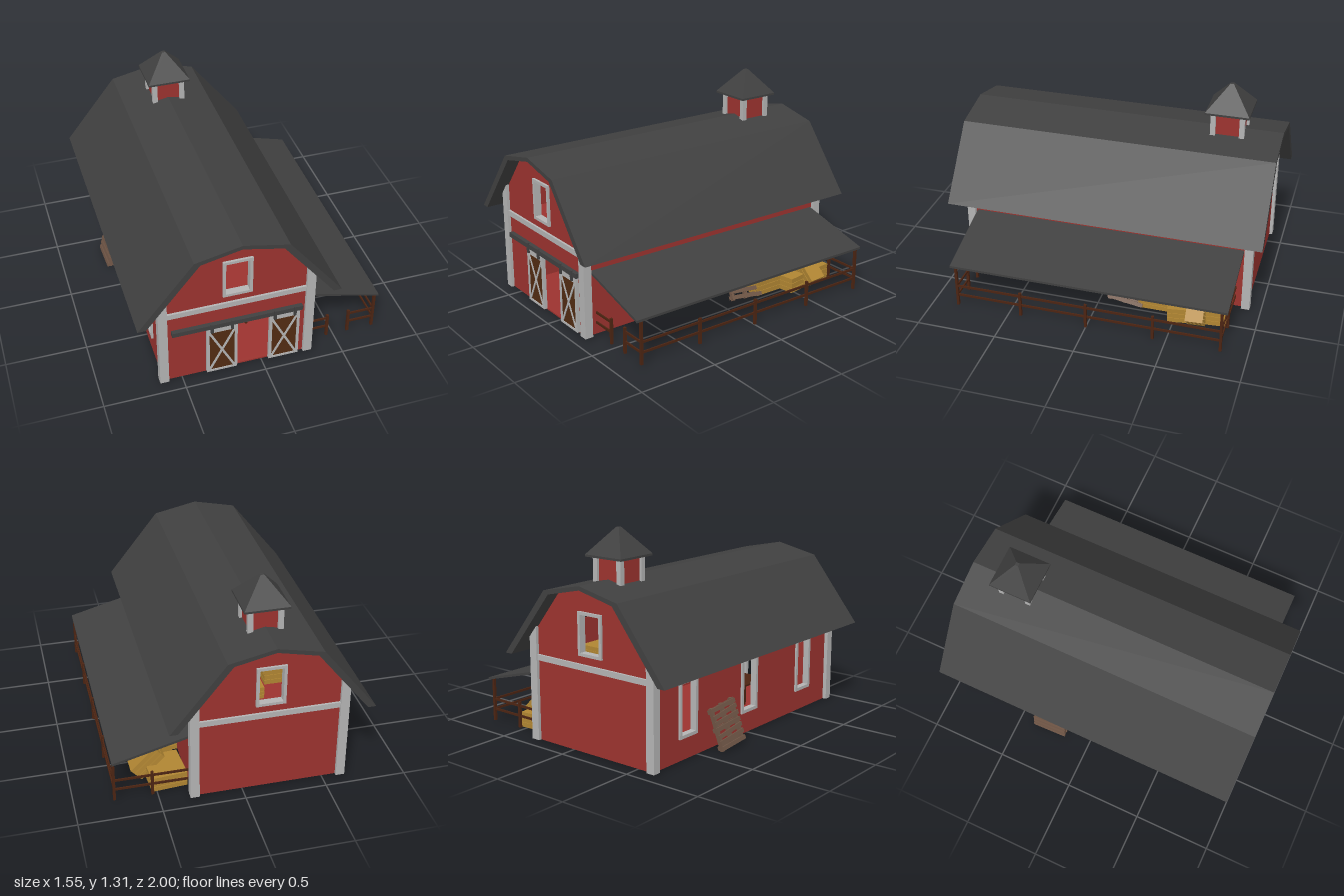
import * as THREE from 'three';

const mat = (color) => new THREE.MeshStandardMaterial({ color, flatShading: true, side: THREE.DoubleSide });
const RED = mat(0x9c332f), ROOF = mat(0x404040), TRIM = mat(0xb4b4b4), DOOR = mat(0x522c12);
const WOOD = mat(0x4c2412), HAY = mat(0xb08532), PALLET = mat(0x705646), METAL = mat(0x45484a);
const CX = -0.16; // barn centre line

function add(parent, name, geometry, material, x = 0, y = 0, z = 0) {
  const m = new THREE.Mesh(geometry, material);
  m.name = name;
  m.position.set(x, y, z);
  parent.add(m);
  return m;
}

// Box given by its min and max corners
function block(parent, name, material, [x0, y0, z0], [x1, y1, z1]) {
  return add(parent, name, new THREE.BoxGeometry(x1 - x0, y1 - y0, z1 - z0), material,
    (x0 + x1) / 2, (y0 + y1) / 2, (z0 + z1) / 2);
}

function group(parent, name, x = 0, y = 0, z = 0) {
  const g = new THREE.Group();
  g.name = name;
  g.position.set(x, y, z);
  parent.add(g);
  return g;
}

const pts = (list) => list.map(([x, y]) => new THREE.Vector2(x, y));
const rect = (x0, y0, x1, y1) => pts([[x0, y0], [x1, y0], [x1, y1], [x0, y1]]);

// Extrude an outline with optional holes along z
function slab(outline, holes, depth) {
  const s = new THREE.Shape(outline);
  holes.forEach((h) => s.holes.push(new THREE.Path(h)));
  return new THREE.ExtrudeGeometry(s, { depth, bevelEnabled: false });
}

// Rectangular window frame centred on the origin
const frame = (w, h, b, d) =>
  slab(rect(-w / 2, -h / 2, w / 2, h / 2), [rect(-w / 2 + b, -h / 2 + b, w / 2 - b, h / 2 - b)], d).translate(0, 0, -d / 2);

// Bale made of three layers with narrow grooves
function bale(parent, x, y, z, w, h, d, rx = 0, ry = 0, rz = 0) {
  const g = group(parent, 'hayBale', x, y, z);
  g.rotation.set(rx, ry, rz);
  add(g, 'baleCore', new THREE.BoxGeometry(w - 0.008, h - 0.008, d - 0.008), HAY);
  for (let i = -1; i <= 1; i++)
    add(g, 'baleLayer', new THREE.BoxGeometry(w, h / 3 - 0.004, d), HAY, 0, i * h / 3, 0);
}

// Upright pallet standing on its local origin, slats facing +x
function pallet(parent, x, y, z, roll, turn, lean) {
  const g = group(parent, 'pallet', x, y, z);
  g.rotation.order = 'ZYX';
  g.rotation.set(roll, turn, lean);
  for (const s of [-0.1, 0, 0.1]) block(g, 'stringer', PALLET, [-0.012, 0, s - 0.01], [0.012, 0.265, s + 0.01]);
  for (let i = 0; i < 7; i++)
    add(g, 'slat', new THREE.BoxGeometry(0.01, 0.025, 0.23), PALLET, 0.016, 0.015 + i * 0.039, 0).rotation.x = (i % 3 - 1) * 0.03;
  for (const h of [0.02, 0.13, 0.245])
    add(g, 'backSlat', new THREE.BoxGeometry(0.008, 0.025, 0.23), PALLET, -0.015, h, 0);
}

function addWalls(root) {
  const g = group(root, 'walls');
  const gable = pts([[-0.615, 0], [0.295, 0], [0.295, 0.675], [0.095, 0.94], [CX, 0.995], [-0.415, 0.94], [-0.615, 0.675]]);
  const win = rect(-0.235, 0.6, -0.085, 0.83);
  add(g, 'frontWall', slab(gable, [win, rect(-0.3, 0.01, 0.18, 0.35)], 0.02), RED, 0, 0, 0.89);
  add(g, 'backWall', slab(gable, [win], 0.02), RED, 0, 0, -0.91);
  block(g, 'leftWall', RED, [0.275, 0, -0.9], [0.295, 0.68, 0.9]);
  const holes = [-0.6, 0, 0.6].map((z) => rect(z - 0.065, 0.15, z + 0.065, 0.46));
  add(g, 'rightWall', slab(rect(-0.9, 0, 0.9, 0.68), holes, 0.02), RED, -0.615).rotation.y = -Math.PI / 2;
  g.getObjectByName('rightWall').position.x = -0.595;
  block(g, 'floor', RED, [-0.615, 0, -0.9], [0.295, 0.01, 0.9]);
  block(g, 'loftFloor', RED, [-0.6, 0.5, -0.895], [0.28, 0.515, 0.895]);

  // Window frames
  for (const z of [-0.6, 0, 0.6])
    add(g, 'sideWindowFrame', frame(0.165, 0.345, 0.02, 0.04), TRIM, -0.607, 0.305, z).rotation.y = Math.PI / 2;
  for (const z of [-0.902, 0.902])
    add(g, 'gableWindowFrame', frame(0.18, 0.26, 0.018, 0.045), TRIM, CX, 0.715, z);

  // Corner posts with tops cut to the roof slope, and the cross boards
  for (const s of [-1, 1]) {
    block(g, 'crossBoard', TRIM, [-0.59, 0.5, s * 0.912 - 0.012], [0.27, 0.535, s * 0.912 + 0.012]);
    for (const z of [-0.93, 0.877])
      add(g, 'cornerPost', slab(pts([[s * 0.425, 0], [s * 0.48, 0], [s * 0.48, 0.65], [s * 0.425, 0.715]]), [], 0.053), TRIM, CX, 0, z);
  }
}

function addRoof(root) {
  const outer = [[-0.615, 0.53], [-0.28, 0.953], [0, 1.013], [0.28, 0.953], [0.615, 0.53]];
  const inner = [[0.565, 0.53], [0.245, 0.933], [0, 0.988], [-0.245, 0.933], [-0.565, 0.53]];
  add(root, 'mainRoof', slab(pts([...outer, ...inner]), [], 2), ROOF, CX, 0, -1);

  // Cupola
  const c = group(root, 'cupola', CX, 0, -0.665);
  block(c, 'cupolaBody', RED, [-0.09, 0.96, -0.09], [0.09, 1.14, 0.09]);
  for (const x of [-0.09, 0.09]) for (const z of [-0.09, 0.09])
    block(c, 'cupolaPost', TRIM, [x - 0.016, 0.96, z - 0.016], [x + 0.016, 1.14, z + 0.016]);
  block(c, 'cupolaEave', ROOF, [-0.137, 1.137, -0.137], [0.137, 1.15, 0.137]);
  const cap = new THREE.CylinderGeometry(0.015, 0.137 * Math.SQRT2, 0.155, 4).rotateY(Math.PI / 4);
  add(c, 'cupolaRoof', cap, ROOF, 0, 1.2275, 0);
}

function addDoors(root) {
  const g = group(root, 'slidingDoors');
  block(g, 'doorRail', ROOF, [-0.56, 0.365, 0.91], [0.245, 0.395, 0.938]);
  for (const x of [-0.255, 0.135]) {
    const d = group(g, 'door', x, 0.183, 0.92);
    add(d, 'doorPanel', new THREE.BoxGeometry(0.17, 0.34, 0.012), DOOR);
    const outline = rect(-0.095, -0.177, 0.095, 0.177);
    add(d, 'doorFrame', slab(outline, [rect(-0.078, -0.163, 0.078, 0.143)], 0.022), TRIM, 0, 0, -0.011);
    const angle = Math.atan2(0.306, 0.156);
    for (const s of [-1, 1])
      add(d, 'doorBrace', new THREE.BoxGeometry(0.34, 0.014, 0.008), TRIM, 0, -0.01, 0.006).rotation.z = s * angle;
    for (const h of [-0.065, 0.06])
      add(d, 'doorHanger', new THREE.BoxGeometry(0.016, 0.066, 0.012), ROOF, h, 0.187, 0.018);
  }
}

function addLeanTo(root) {
  const g = group(root, 'leanTo');
  const profile = pts([[0.29, 0.402], [0.29, 0.418], [0.77, 0.288], [0.77, 0.273]]);
  add(g, 'leanToRoof', slab(profile, [], 1.74), ROOF, 0, 0, -0.87);

  const post = (x, z, h) => block(g, 'fencePost', WOOD, [x - 0.008, 0, z - 0.008], [x + 0.008, h, z + 0.008]);
  for (const z of [-0.835, 0.835]) post(0.76, z, 0.28);
  for (const z of [-0.42, 0, 0.42]) post(0.76, z, 0.165);
  for (const x of [0.455, 0.595]) post(x, 0.835, 0.165);
  post(0.53, -0.835, 0.165);
  for (const y of [0.075, 0.14]) {
    block(g, 'sideRail', WOOD, [0.756, y - 0.007, -0.835], [0.764, y + 0.007, 0.835]);
    for (const [a, b, z] of [[0.29, 0.455, 0.835], [0.595, 0.76, 0.835], [0.29, 0.76, -0.835]])
      block(g, 'endRail', WOOD, [a, y - 0.007, z - 0.004], [b, y + 0.007, z + 0.004]);
  }
}

function addContents(root) {
  // Bales and pallets outside
  const g = group(root, 'yardGoods');
  bale(g, 0.41, 0.05, -0.38, 0.14, 0.1, 0.24);
  bale(g, 0.43, 0.05, -0.7, 0.22, 0.1, 0.23, 0, 0.08, 0);
  bale(g, 0.4, 0.152, -0.49, 0.14, 0.1, 0.18, 0, 0.06, 0);
  bale(g, 0.53, 0.11, -0.64, 0.2, 0.1, 0.11, 0.06, 0, -0.76);
  bale(g, 0.47, 0.05, -0.51, 0.2, 0.1, 0.12, 0, 0.15, 0);
  pallet(g, 0.475, 0.012, -0.17, -0.1, 0, 0.55);
  pallet(g, -0.702, 0.008, -0.28, 0.1, Math.PI, -0.28);

  // Workbench and bucket inside the doors
  const t = group(root, 'workbench', 0, 0, 0.5);
  block(t, 'benchTop', WOOD, [-0.32, 0.138, -0.12], [0.02, 0.15, 0.12]);
  for (const x of [-0.3, 0.005]) for (const z of [-0.1, 0.1])
    block(t, 'benchLeg', WOOD, [x - 0.009, 0.01, z - 0.009], [x + 0.009, 0.14, z + 0.009]);
  const pail = new THREE.CylinderGeometry(0.037, 0.027, 0.055, 12, 1, true);
  add(t, 'bucket', pail, METAL, -0.05, 0.1775, 0);
  add(t, 'bucketBase', new THREE.CircleGeometry(0.027, 12).rotateX(-Math.PI / 2), METAL, -0.05, 0.152, 0);

  // Stored bales on the ground floor and in the loft
  const s = group(root, 'storedHay');
  for (const z of [-0.6, -0.3, 0]) bale(s, 0.19, 0.06, z, 0.13, 0.1, 0.24);
  bale(s, 0.19, 0.16, -0.45, 0.13, 0.1, 0.24, 0, 0.1, 0);
  bale(s, -0.31, 0.565, -0.55, 0.2, 0.1, 0.13);
  bale(s, -0.3, 0.625, -0.55, 0.2, 0.07, 0.12);
  bale(s, -0.05, 0.555, -0.6, 0.24, 0.08, 0.3);
  pallet(s, -0.32, 0.533, 0.5, 0, 0, Math.PI / 2);
}

export function createModel() {
  const root = new THREE.Group();
  root.name = 'barn';
  addWalls(root);
  addRoof(root);
  addDoors(root);
  addLeanTo(root);
  addContents(root);
  return root;
}
